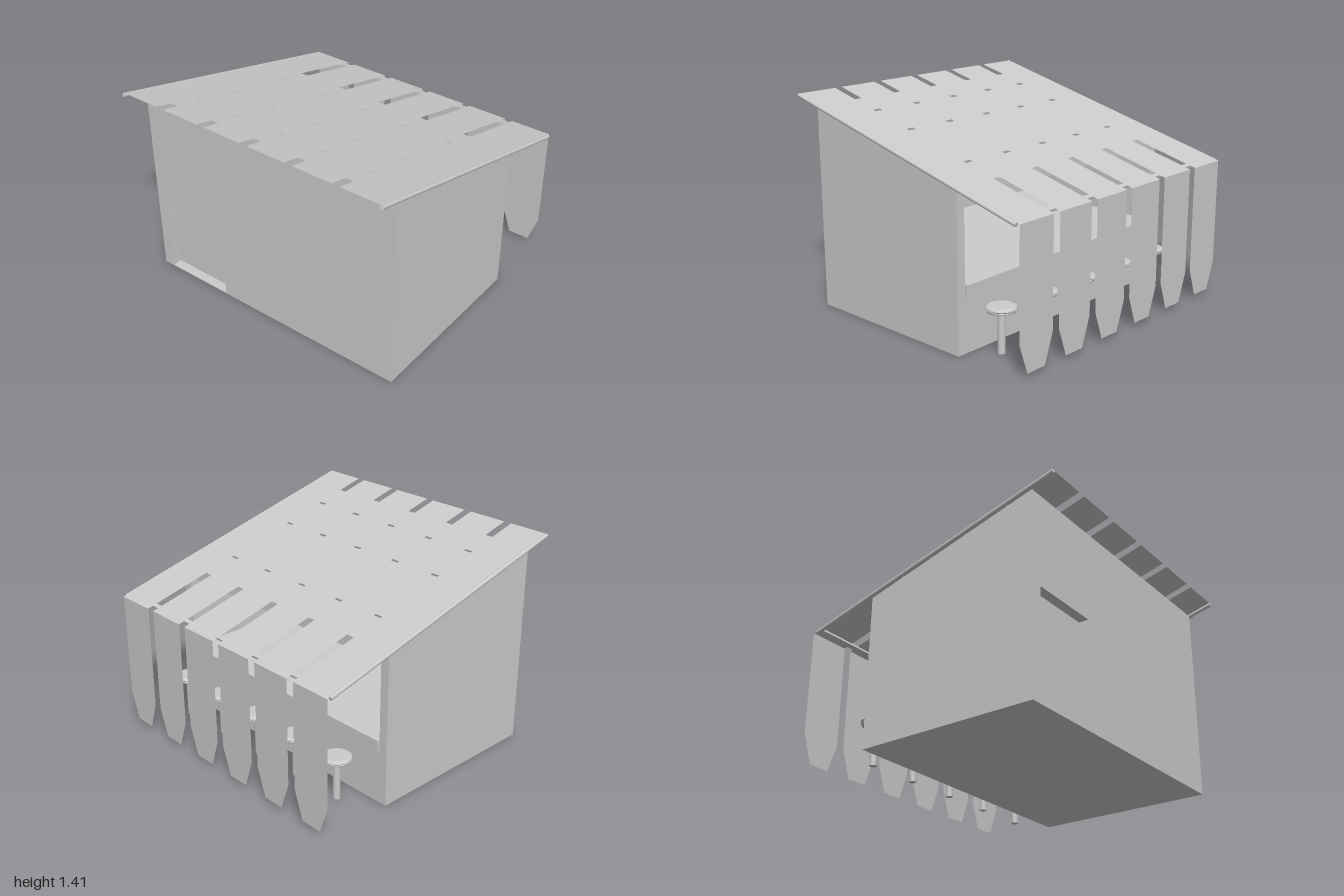
import * as THREE from 'three';

const SLOPE = 0.252;
const topY = (z) => 1.148 + SLOPE * z; // sloping top of the walls
const grey = new THREE.MeshStandardMaterial({ color: 0xcccccc, flatShading: true });
const thin = new THREE.MeshStandardMaterial({ color: 0xcccccc, flatShading: true, side: THREE.DoubleSide });
const smooth = new THREE.MeshStandardMaterial({ color: 0xcccccc });

function add(parent, name, geometry, material = grey, x = 0, y = 0, z = 0) {
  const mesh = new THREE.Mesh(geometry, material);
  mesh.name = name;
  mesh.position.set(x, y, z);
  parent.add(mesh);
  return mesh;
}

const shapeOf = (points) => new THREE.Shape(points.map(([x, y]) => new THREE.Vector2(x, y)));

// Side profile given as (z, y), extruded across x and centred on x = 0
function acrossX(points, width) {
  const g = new THREE.ExtrudeGeometry(shapeOf(points), { depth: width, bevelEnabled: false });
  g.rotateY(-Math.PI / 2);
  g.translate(width / 2, 0, 0);
  return g;
}

function buildHut() {
  const hut = new THREE.Group();
  hut.name = 'hut';
  const back = -0.46, front = 0.79, inner = 0.725;

  // Hollow core, open at the back above the counter
  add(hut, 'core', acrossX([
    [back, 0], [inner, 0], [inner, topY(inner)], [back, topY(back)],
    [back, 0.95], [0.70, 0.95], [0.70, 0.43], [back, 0.43],
  ], 1.82));

  // Side walls
  for (const s of [-1, 1]) {
    add(hut, 'sideWall', acrossX([
      [back, 0], [inner, 0], [inner, topY(inner)], [back, topY(back)],
    ], 0.06), grey, s * 0.94);
  }

  // Front wall with the doorway cut out, top edge following the slope
  const wall = new THREE.ExtrudeGeometry(shapeOf([
    [-0.97, 0], [-0.89, 0], [-0.89, 0.73], [-0.395, 0.73],
    [-0.395, 0], [0.97, 0], [0.97, 1.3], [-0.97, 1.3],
  ]), { depth: front - inner, bevelEnabled: false });
  wall.translate(0, 0, inner);
  const p = wall.attributes.position;
  for (let i = 0; i < p.count; i++) if (p.getY(i) > 1) p.setY(i, topY(p.getZ(i)));
  wall.computeVertexNormals();
  add(hut, 'frontWall', wall);
  add(hut, 'threshold', new THREE.BoxGeometry(0.495, 0.006, front - inner), grey, -0.6425, 0.003, (front + inner) / 2);

  // Lip of the serving counter
  add(hut, 'counterLip', new THREE.BoxGeometry(1.82, 0.085, 0.018), grey, 0, 0.3925, -0.467);
  return hut;
}

function buildRoof() {
  const roof = new THREE.Group();
  roof.name = 'roof';
  const angle = Math.atan(SLOPE), stretch = 1 / Math.cos(angle);
  roof.position.set(0, 1.167, -0.005);
  roof.rotation.x = -angle;

  const plank = new THREE.PlaneGeometry(0.283, 1.91 * stretch).rotateX(-Math.PI / 2);
  // Hanging board with a tapered end below each plank
  const board = new THREE.ShapeGeometry(shapeOf([
    [-0.1415, 0.926], [-0.1415, 0.22], [-0.075, 0.03],
    [0.075, 0.03], [0.1415, 0.22], [0.1415, 0.926],
  ]));
  const boards = new THREE.Group();
  boards.name = 'hangingBoards';
  for (let i = 0; i < 6; i++) {
    const x = -0.848 + i * 0.338;
    add(roof, 'roofPlank', plank, thin, x);
    add(boards, 'hangingBoard', board, thin, x, 0, -0.958);
  }

  // Cross battens under the planks
  for (const z of [-0.9, -0.225, 0.275, 0.59]) {
    add(roof, 'batten', new THREE.BoxGeometry(1.97, 0.016, 0.032), grey, 0, -0.0085, z * stretch);
  }

  // Round rails along both sloping edges
  const rail = new THREE.CylinderGeometry(0.014, 0.014, 1.89 * stretch, 12).rotateX(Math.PI / 2);
  for (const s of [-1, 1]) add(roof, 'edgeRail', rail, smooth, s * 0.986, -0.012, 0.012);
  return [roof, boards];
}

function buildStools() {
  const stools = new THREE.Group();
  stools.name = 'stools';
  const v = (x, y) => new THREE.Vector2(x, y);
  const seat = new THREE.LatheGeometry([
    v(0, 0.277), v(0.088, 0.277), v(0.092, 0.288), v(0.088, 0.291),
    v(0.095, 0.298), v(0.093, 0.305), v(0.078, 0.312), v(0, 0.312),
  ], 32);
  const post = new THREE.CylinderGeometry(0.024, 0.024, 0.27, 20);
  for (let i = 0; i < 5; i++) {
    const stool = new THREE.Group();
    stool.name = 'stool';
    stool.position.set(-0.71 + i * 0.37, 0, -0.62);
    add(stool, 'seat', seat, grey);
    add(stool, 'post', post, smooth, 0, 0.143, 0);
    stools.add(stool);
  }
  return stools;
}

export function createModel() {
  const model = new THREE.Group();
  model.name = 'snackHut';
  model.add(buildHut(), ...buildRoof(), buildStools());
  return model;
}
